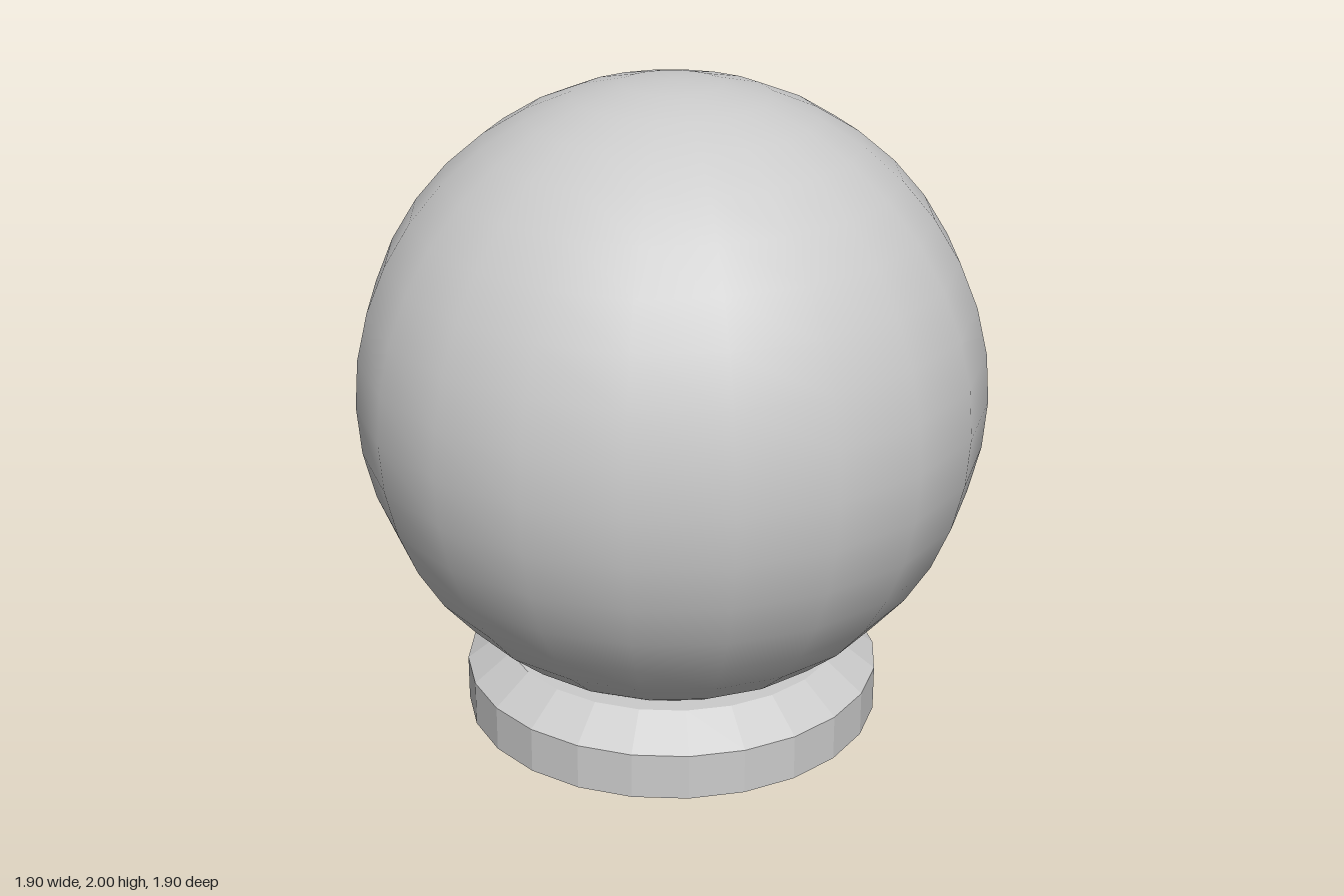
import * as THREE from 'three';

export function createModel() {
  const model = new THREE.Group();
  const smooth = new THREE.MeshStandardMaterial({ color: 0xcccccc });
  const faceted = new THREE.MeshStandardMaterial({ color: 0xcccccc, flatShading: true });

  // Globe resting in the base
  const globe = new THREE.Mesh(new THREE.SphereGeometry(0.95, 20, 20), smooth);
  globe.name = 'globe';
  globe.position.y = 1.05;
  model.add(globe);

  // Faceted round base: flat bottom, straight wall, bevel, flat top ledge
  const profile = [[0, 0], [0.645, 0], [0.645, 0.143], [0.53, 0.23], [0, 0.23]]
    .map(([r, y]) => new THREE.Vector2(r, y));
  const base = new THREE.Mesh(new THREE.LatheGeometry(profile, 24), faceted);
  base.name = 'base';
  model.add(base);

  return model;
}
